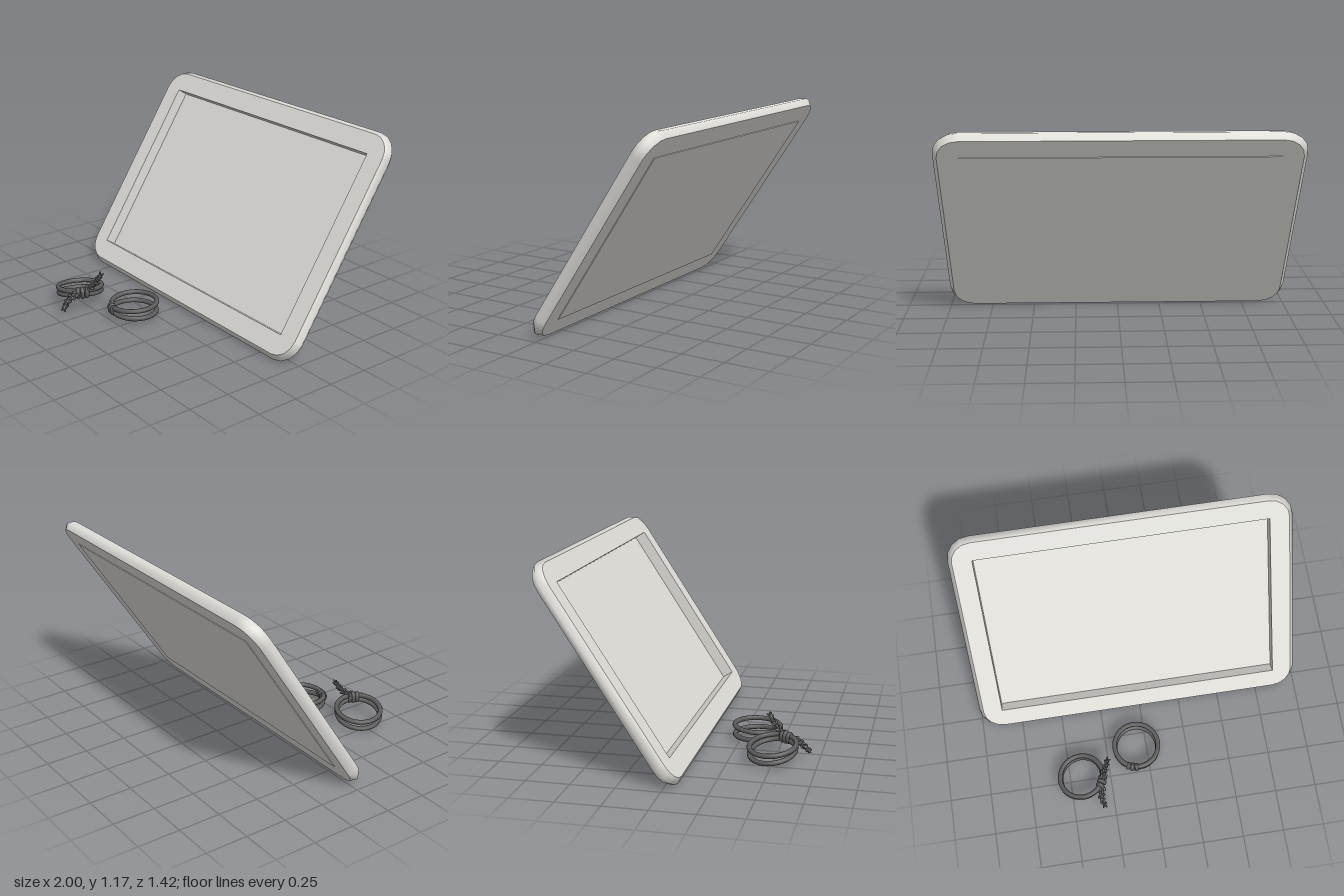
import * as THREE from 'three';

const V = (x, y, z) => new THREE.Vector3(x, y, z);

// counter-clockwise outline of a rectangle with rounded corners
function roundedOutline(w, h, r, steps) {
  const pts = [];
  [[1, 1], [-1, 1], [-1, -1], [1, -1]].forEach(([sx, sy], k) => {
    for (let i = 0; i <= steps; i++) {
      const a = (k + i / steps) * Math.PI / 2;
      pts.push(new THREE.Vector2(sx * (w / 2 - r) + r * Math.cos(a), sy * (h / 2 - r) + r * Math.sin(a)));
    }
  });
  return pts;
}

// skin between outlines placed at given depths, front to back
function loft(sections, inward) {
  const pos = [], idx = [], n = sections[0].pts.length;
  sections.forEach(s => s.pts.forEach(p => pos.push(p.x, p.y, s.z)));
  for (let j = 0; j < sections.length - 1; j++) {
    for (let i = 0; i < n; i++) {
      const a = j * n + i, b = j * n + (i + 1) % n, c = a + n, d = b + n;
      if (inward) idx.push(a, b, c, b, d, c);
      else idx.push(a, c, b, b, c, d);
    }
  }
  const g = new THREE.BufferGeometry();
  g.setAttribute('position', new THREE.Float32BufferAttribute(pos, 3));
  g.setIndex(idx);
  if (inward) {
    const flat = g.toNonIndexed();
    flat.computeVertexNormals();
    return flat;
  }
  g.computeVertexNormals();
  return g;
}

export function createModel() {
  const model = new THREE.Group();
  const trayMat = new THREE.MeshStandardMaterial({ color: 0xdfded9 });
  trayMat.name = 'pale stone';
  const ropeMat = new THREE.MeshStandardMaterial({ color: 0x5b5b5b });
  ropeMat.name = 'dark rope';

  const add = (parent, name, geo, mat) => {
    const m = new THREE.Mesh(geo, mat);
    m.name = name;
    parent.add(m);
    return m;
  };

  // leaning tray: frame with bulging rim and a deep rectangular recess
  const tray = new THREE.Group();
  tray.name = 'tray';
  tray.position.set(0, 0.582, -0.318);
  tray.rotation.x = -0.575;
  model.add(tray);

  const half = 0.0365, holeW = 1.72, holeH = 1.104;
  const face = roundedOutline(1.95, 1.34, 0.12, 4);
  const middle = roundedOutline(2.0, 1.39, 0.145, 4);
  const hole = [[1, 1], [-1, 1], [-1, -1], [1, -1]].map(([x, y]) => new THREE.Vector2(x * holeW / 2, y * holeH / 2));
  const shape = new THREE.Shape(face);
  shape.holes.push(new THREE.Path(hole.slice().reverse()));

  add(tray, 'frameFront', new THREE.ShapeGeometry(shape), trayMat).position.z = half;
  const back = add(tray, 'frameBack', new THREE.ShapeGeometry(shape), trayMat);
  back.position.z = -half;
  back.rotation.y = Math.PI;
  add(tray, 'rim', loft([{ pts: face, z: half }, { pts: middle, z: 0 }, { pts: face, z: -half }]), trayMat);
  add(tray, 'recessWalls', loft([{ pts: hole, z: half }, { pts: hole, z: -half }], true), trayMat);
  add(tray, 'backPanel', new THREE.BoxGeometry(holeW, holeH, 0.007), trayMat).position.z = -half - 0.0005;

  // coil: two rope loops bound together by wraps at the knot angle
  function coil(name, cx, cz, knotAngle, radius, heights, knotY, wrapR) {
    const g = new THREE.Group();
    g.name = name;
    model.add(g);
    heights.forEach((height, k) => {
      const pts = [];
      for (let i = 0; i < 24; i++) {
        const d = i / 24 * Math.PI * 2, a = knotAngle + d;
        const r = radius - k * 0.003;
        pts.push(V(cx + r * Math.cos(a), height(d), cz + r * Math.sin(a)));
      }
      add(g, 'ropeLoop', new THREE.TubeGeometry(new THREE.CatmullRomCurve3(pts, true), 64, 0.0145, 10, true), ropeMat);
    });
    for (let i = -1; i <= 1; i++) {
      const a = knotAngle + i * 0.19;
      const w = add(g, 'knotWrap', new THREE.TorusGeometry(wrapR - Math.abs(i) * 0.003, 0.0125, 8, 20), ropeMat);
      w.position.set(cx + radius * Math.cos(a), knotY, cz + radius * Math.sin(a));
      w.quaternion.setFromUnitVectors(V(0, 0, 1), V(-Math.sin(a), 0, Math.cos(a)));
      w.scale.x = 0.75;
    }
    return g;
  }

  const spread = d => 0.011 + 0.018 * Math.pow(Math.abs(Math.sin(d / 2)), 0.6);
  const near = d => (1 + Math.cos(d)) / 2;
  coil('plainCoil', -0.065, 0.35, 1.89, 0.135,
    [d => 0.063 + spread(d), d => 0.063 - spread(d)], 0.063, 0.023);
  const tailed = coil('tailedCoil', -0.43, 0.498, 0.45, 0.132,
    [d => 0.078 + 0.047 * near(d), d => 0.034 + 0.064 * near(d)], 0.112, 0.027);

  // frayed tails: a thin core with pointed husks fanned around it
  function tail(points) {
    const curve = new THREE.CatmullRomCurve3(points);
    add(tailed, 'tailCore', new THREE.TubeGeometry(curve, 16, 0.011, 8), ropeMat);
    const husk = new THREE.SphereGeometry(1, 8, 6);
    const rows = 7;
    for (let i = 0; i <= rows; i++) {
      const t = i / rows, p = curve.getPoint(t), dir = curve.getTangent(t);
      const u = V(0, 1, 0).cross(dir).normalize(), v = dir.clone().cross(u);
      const size = 1 - 0.35 * t;
      for (let k = 0; k < 3; k++) {
        const a = k * Math.PI * 2 / 3 + i * Math.PI / 3;
        const out = u.clone().multiplyScalar(Math.cos(a)).addScaledVector(v, Math.sin(a));
        const h = add(tailed, 'tailHusk', husk, ropeMat);
        h.position.copy(p).addScaledVector(out, 0.014 * size);
        h.quaternion.setFromUnitVectors(V(0, 1, 0), dir.clone().addScaledVector(out, 0.7).normalize());
        h.scale.set(0.009 * size, 0.019 * size, 0.009 * size);
      }
    }
  }
  tail([V(-0.305, 0.125, 0.54), V(-0.28, 0.165, 0.49), V(-0.258, 0.225, 0.452)]);
  tail([V(-0.318, 0.11, 0.595), V(-0.325, 0.085, 0.645), V(-0.312, 0.04, 0.69)]);

  return model;
}
